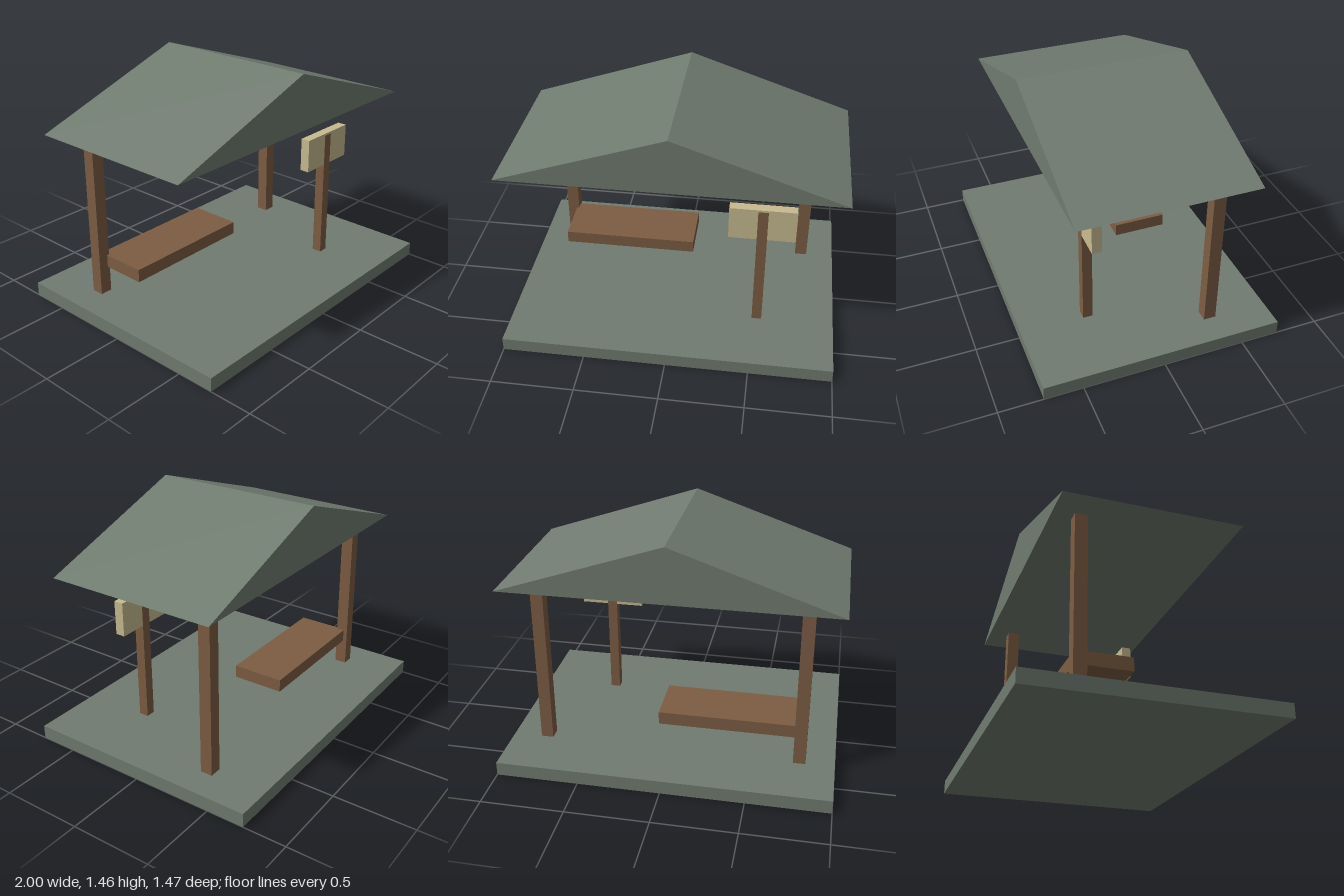
import * as THREE from 'three';

export function createModel() {
  const model = new THREE.Group();
  model.name = 'shelter';

  const slate = new THREE.MeshStandardMaterial({ name: 'greenGrey', color: 0x707b70 });
  const wood = new THREE.MeshStandardMaterial({ name: 'brownWood', color: 0x7d5d43 });
  const cream = new THREE.MeshStandardMaterial({ name: 'creamBoard', color: 0xc9bb91 });

  const add = (name, geometry, material) => {
    const mesh = new THREE.Mesh(geometry, material);
    mesh.name = name;
    model.add(mesh);
    return mesh;
  };

  // Box given by its minimum and maximum corners
  const box = (name, material, [x0, y0, z0], [x1, y1, z1]) => {
    const mesh = add(name, new THREE.BoxGeometry(x1 - x0, y1 - y0, z1 - z0), material);
    mesh.position.set((x0 + x1) / 2, (y0 + y1) / 2, (z0 + z1) / 2);
  };

  // Floor slab
  box('floor', slate, [-1, 0, -0.735], [1, 0.085, 0.735]);

  // Two rear posts carrying the roof
  for (const [name, x] of [['rightPost', -0.7875], ['leftPost', 0.7875]]) {
    box(name, wood, [x - 0.0375, 0.005, -0.405], [x + 0.0375, 1.125, -0.33]);
  }

  // Solid gable roof
  const gable = new THREE.Shape([
    new THREE.Vector2(-0.998, 1.12),
    new THREE.Vector2(0.998, 1.12),
    new THREE.Vector2(0, 1.46),
  ]);
  const roof = new THREE.ExtrudeGeometry(gable, { depth: 1.054, bevelEnabled: false });
  roof.translate(0, 0, -0.527);
  add('roof', roof, slate);

  // Bench slab fixed to the right post
  box('bench', wood, [-0.765, 0.25, -0.38], [0.075, 0.33, -0.053]);

  // Notice board on its own post, whose faces stand just proud of the board
  box('signPost', wood, [0.495, 0.005, 0.285], [0.555, 0.91, 0.346]);
  box('signBoard', cream, [0.327, 0.713, 0.286], [0.722, 0.923, 0.345]);

  return model;
}
